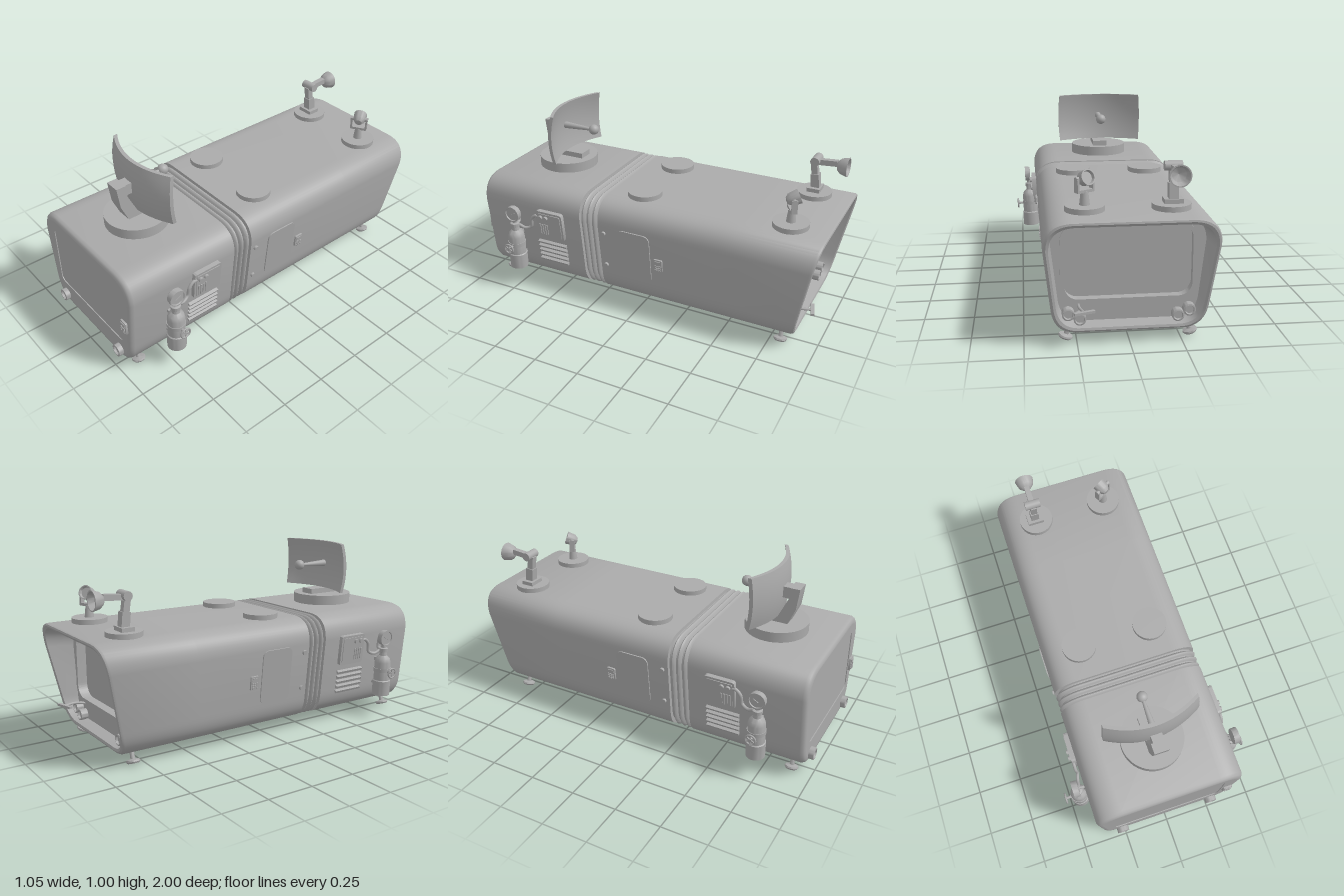
import * as THREE from 'three';
import { toCreasedNormals } from 'three/addons/utils/BufferGeometryUtils.js';

const grey = new THREE.MeshStandardMaterial({ color: 0xaaaaaa, side: THREE.DoubleSide });
grey.name = 'grey';

function add(parent, name, geo, x = 0, y = 0, z = 0, rx = 0, ry = 0, rz = 0) {
  const m = new THREE.Mesh(geo, grey);
  m.name = name;
  m.position.set(x, y, z);
  m.rotation.set(rx, ry, rz);
  parent.add(m);
  return m;
}
function sub(parent, name, x = 0, y = 0, z = 0, rx = 0, ry = 0, rz = 0) {
  const g = new THREE.Group();
  g.name = name;
  g.position.set(x, y, z);
  g.rotation.set(rx, ry, rz);
  parent.add(g);
  return g;
}
const box = (w, h, d) => new THREE.BoxGeometry(w, h, d);
const cyl = (r, h, r2 = r, n = 32) => new THREE.CylinderGeometry(r, r2, h, n);
const ball = (r) => new THREE.SphereGeometry(r, 20, 14);
const lathe = (pts) => toCreasedNormals(new THREE.LatheGeometry(pts.map(p => new THREE.Vector2(...p)), 28), 0.6);
const tube = (pts, r) => new THREE.TubeGeometry(new THREE.CatmullRomCurve3(pts.map(p => new THREE.Vector3(...p))), 28, r, 8);
const extrude = (s, depth) => toCreasedNormals(new THREE.ExtrudeGeometry(s, { depth, bevelEnabled: false, curveSegments: 10 }), 0.6);

function roundRect(w, h, r, cx = 0, cy = 0) {
  const s = new THREE.Shape(), a = w / 2 - r, b = h / 2 - r;
  s.absarc(cx + a, cy + b, r, 0, Math.PI / 2);
  s.absarc(cx - a, cy + b, r, Math.PI / 2, Math.PI);
  s.absarc(cx - a, cy - b, r, Math.PI, Math.PI * 1.5);
  s.absarc(cx + a, cy - b, r, Math.PI * 1.5, Math.PI * 2);
  s.closePath();
  return s;
}

// Hull cross-section, shrunk evenly by an inset
const half = [
  ...new THREE.QuadraticBezierCurve(new THREE.Vector2(0.25, 0.06), new THREE.Vector2(0.365, 0.06), new THREE.Vector2(0.375, 0.2)).getPoints(12),
  ...new THREE.QuadraticBezierCurve(new THREE.Vector2(0.408, 0.5), new THREE.Vector2(0.41, 0.635), new THREE.Vector2(0.27, 0.635)).getPoints(12)];
const outline = [...half, ...half.slice().reverse().map(p => new THREE.Vector2(-p.x, p.y))];
const section = (i) => outline.map(p => new THREE.Vector2(p.x * (1 - i / 0.41), 0.3475 + (p.y - 0.3475) * (1 - i / 0.2875)));

// Rings are [z, inset, slant]
function loft(rings) {
  const pos = [], idx = [], n = outline.length;
  rings.forEach(([z, inset, slant = 0]) => section(inset).forEach(p => pos.push(p.x, p.y, z + slant * (0.635 - p.y) * 0.209)));
  for (let k = 0; k < rings.length - 1; k++) for (let i = 0; i < n; i++) {
    const a = k * n + i, b = k * n + (i + 1) % n;
    idx.push(a, a + n, b, b, a + n, b + n);
  }
  const g = new THREE.BufferGeometry();
  g.setAttribute('position', new THREE.Float32BufferAttribute(pos, 3));
  g.setIndex(idx);
  return toCreasedNormals(g, 0.6);
}

// Copy of a group reflected across x = 0 with its face order restored
function mirrored(src, name) {
  const out = new THREE.Group();
  out.name = name;
  src.updateMatrixWorld(true);
  src.traverse(o => {
    if (!o.isMesh) return;
    let g = o.geometry.index ? o.geometry.toNonIndexed() : o.geometry.clone();
    g.applyMatrix4(o.matrixWorld).applyMatrix4(new THREE.Matrix4().makeScale(-1, 1, 1));
    g.setIndex(Array.from({ length: g.attributes.position.count }, (_, i) => i - i % 3 + [0, 2, 1][i % 3]));
    add(out, o.name, g);
  });
  return out;
}

function keypad(parent, x, y, z) {
  const g = sub(parent, 'keypad', x, y, z);
  add(g, 'keypadCase', extrude(roundRect(0.05, 0.075, 0.006), 0.012));
  add(g, 'keypadScreen', box(0.034, 0.018, 0.005), 0, 0.02, 0.013);
  for (let i = 0; i < 9; i++) add(g, 'key', box(0.009, 0.009, 0.008), (i % 3 - 1) * 0.012, -0.002 - Math.floor(i / 3) * 0.012, 0.013);
}

function buildHull(root) {
  const rings = [[0.97, 0.03], [0.968, 0.016], [0.96, 0.006], [0.945, 0], [0.33, 0], [0.328, 0.018]];
  for (let r = 0; r < 3; r++) for (let i = 0; i <= 6; i++)
    rings.push([0.322 - r * 0.034 - i * 0.0045, 0.018 - 0.017 * Math.sin(i * Math.PI / 6)]);
  rings.push([0.217, 0.018], [0.215, 0], [-0.5, 0, 0.5], [-0.985, 0, 1], [-0.996, 0.005, 1], [-1, 0.014, 1], [-0.994, 0.026, 1], [-0.82, 0.04]);
  add(root, 'hull', loft(rings));

  // Front face with inset screen
  const front = new THREE.Shape(section(0.03));
  front.holes.push(roundRect(0.61, 0.355, 0.03, 0, 0.3725));
  add(root, 'frontFace', extrude(front, 0.012), 0, 0, 0.958);
  add(root, 'frontScreen', extrude(roundRect(0.62, 0.365, 0.03, 0, 0.3725), 0.005), 0, 0, 0.96);
  keypad(root, 0.34, 0.333, 0.969);

  // Recessed rear wall and its window
  const back = new THREE.Shape(section(0.039));
  back.holes.push(roundRect(0.62, 0.36, 0.07, 0, 0.385));
  add(root, 'rearWall', extrude(back, 0.05), 0, 0, -0.82);
  add(root, 'rearWindow', extrude(roundRect(0.63, 0.37, 0.07, 0, 0.385), 0.005), 0, 0, -0.775);
  const frame = roundRect(0.65, 0.39, 0.085, 0, 0.385);
  frame.holes.push(roundRect(0.61, 0.35, 0.065, 0, 0.385));
  add(root, 'rearWindowFrame', extrude(frame, 0.015), 0, 0, -0.83);
  add(root, 'rearArm', tube([[0.24, 0.18, -0.82], [0.24, 0.19, -0.88], [0.22, 0.19, -0.95]], 0.007));
  add(root, 'rearArmBar', box(0.1, 0.012, 0.018), 0.22, 0.19, -0.945, 0, 0.3);
}

// Everything that repeats on the left and right
function buildSide() {
  const side = new THREE.Group();
  side.name = 'leftFittings';
  const wall = sub(sub(side, 'wallTilt', 0.392, 0.35, 0, 0, 0, -0.11), 'wall', 0, 0, 0, 0, Math.PI / 2);
  add(wall, 'door', extrude(roundRect(0.19, 0.3, 0.035), 0.012), 0, 0, -0.006);
  keypad(wall, -0 + 0.142, -0.017, -0.002);
  for (const y of [-0.1, 0.105]) add(wall, 'hinge', cyl(0.013, 0.02, 0.013, 16), -0.182, y, 0.002, Math.PI / 2);
  // Control panel and vents
  add(wall, 'controlPanel', extrude(roundRect(0.168, 0.17, 0.015), 0.026), -0.518, 0.08, -0.004);
  add(wall, 'panelInset', extrude(roundRect(0.145, 0.145, 0.01), 0.006), -0.518, 0.08, 0.02);
  for (const x of [-0.57, -0.535]) add(wall, 'panelKnob', cyl(0.013, 0.016, 0.013, 16), x, 0.13, 0.03, Math.PI / 2);
  for (let i = 0; i < 4; i++) add(wall, 'panelSlot', box(0.008, 0.065, 0.01), -0.578 + i * 0.015, 0.055, 0.026);
  for (let i = 0; i < 5; i++) add(wall, 'ventSlat', box(0.185, 0.014, 0.02), -0.528, -0.05 - i * 0.029, 0.004, 0.35);

  // Gas bottle, gauge, valve wheel and hose
  const b = sub(side, 'gasBottle', 0.435, 0, 0.738, 0, 0, -0.03);
  add(b, 'bottle', lathe([[0, 0.135], [0.05, 0.135], [0.051, 0.22], [0.046, 0.225], [0.046, 0.33], [0.04, 0.352], [0.022, 0.37], [0.02, 0.39], [0.026, 0.392], [0.026, 0.412], [0.014, 0.416], [0.013, 0.435], [0, 0.437]]));
  add(b, 'bottleBand', cyl(0.049, 0.022), 0, 0.285, 0);
  add(b, 'valveStem', cyl(0.008, 0.05, 0.008, 12), 0.058, 0.28, 0, 0, 0, Math.PI / 2);
  add(b, 'valveWheel', new THREE.TorusGeometry(0.027, 0.005, 8, 24), 0.078, 0.28, 0, 0, Math.PI / 2);
  for (let i = 0; i < 3; i++) add(b, 'wheelSpoke', box(0.006, 0.052, 0.006), 0.078, 0.28, 0, i * Math.PI / 3);
  add(b, 'gaugeNeck', cyl(0.008, 0.03, 0.008, 12), 0, 0.435, 0);
  add(b, 'gauge', lathe([[0, -0.016], [0.044, -0.016], [0.046, 0.016], [0.039, 0.016], [0.037, 0.01], [0, 0.01]]), 0.008, 0.474, 0, 0, 0, -Math.PI / 2);
  add(b, 'gaugeNeedle', box(0.004, 0.004, 0.035), 0.02, 0.474, -0.005, 0.5);
  for (const y of [0.2, 0.34]) add(side, 'bottleBracket', box(0.06, 0.018, 0.03), 0.395, y, 0.738);
  add(side, 'hose', tube([[0.435, 0.4, 0.72], [0.43, 0.385, 0.68], [0.42, 0.4, 0.645], [0.425, 0.45, 0.635], [0.425, 0.475, 0.61], [0.425, 0.475, 0.59]], 0.009));
  add(side, 'gaugePipe', tube([[0.43, 0.47, 0.738], [0.408, 0.46, 0.738], [0.405, 0.41, 0.738], [0.43, 0.4, 0.738]], 0.009));

  // Headlights and rear lights
  add(side, 'frontLight', lathe([[0, 0], [0.033, 0], [0.033, 0.028], [0.024, 0.03], [0.021, 0.018], [0, 0.018]]), 0.266, 0.117, 0.968, Math.PI / 2);
  for (const [x, y] of [[0.235, 0.12], [0.29, 0.145]])
    add(side, 'rearLight', lathe([[0, 0], [0.03, 0], [0.03, 0.04], [0.023, 0.042], [0.02, 0.03], [0, 0.03]]), x, y, -0.818, -Math.PI / 2);

  // Feet and underside nozzles
  for (const z of [0.89, -0.81]) {
    const f = sub(side, 'foot', 0.302, 0.022, z, 0, 0, 0.32);
    add(f, 'footPad', lathe([[0, -0.012], [0.03, -0.01], [0.036, -0.002], [0.034, 0.006], [0.012, 0.012], [0.011, 0.08]]));
  }
  for (const z of [0.74, -0.735])
    add(side, 'nozzle', lathe([[0.1, 0.065], [0.096, 0.052], [0.078, 0.042], [0.062, 0.042], [0.05, 0.056], [0.034, 0.056], [0.028, 0.034], [0, 0.032]]), 0.16, 0, z);

  // Roof discs
  for (const z of [0.03, -0.79]) add(side, 'roofDisc', cyl(0.094, 0.035, 0.094, 40), 0.204, 0.6435, z);
  return side;
}

function buildDish(root) {
  const d = sub(root, 'dishAssembly');
  add(d, 'turntable', cyl(0.168, 0.065, 0.168, 48), 0, 0.658, 0.645);
  const s = new THREE.Shape([[0.77, 0.895], [0.715, 0.895], [0.712, 0.83], [0.66, 0.72], [0.53, 0.72], [0.53, 0.688], [0.715, 0.688], [0.755, 0.78]].map(p => new THREE.Vector2(...p)));
  add(d, 'dishSupport', extrude(s, 0.084), 0.042, 0, 0, 0, -Math.PI / 2);
  add(d, 'dishMount', box(0.06, 0.06, 0.07), 0, 0.86, 0.695);
  // Box bent into a shallow bowl
  const g = box(0.51, 0.28, 0.02).toNonIndexed() && new THREE.BoxGeometry(0.51, 0.28, 0.02, 16, 10, 1);
  const p = g.attributes.position;
  for (let i = 0; i < p.count; i++) {
    const x = p.getX(i), y = p.getY(i);
    p.setX(i, x * (1 - 1.6 * y * y));
    p.setZ(i, p.getZ(i) - 1.1 * x * x - 0.9 * y * y);
  }
  add(d, 'dish', toCreasedNormals(g, 0.6), 0, 0.86, 0.668);
  add(d, 'feedRod', cyl(0.008, 0.19, 0.02, 16), 0, 0.865, 0.57, -Math.PI / 2);
  add(d, 'feedBall', ball(0.029), 0, 0.866, 0.467);
}

function buildLamps(root) {
  // Jointed lamp
  const a = sub(root, 'armLamp', -0.21, 0, -0.79);
  add(a, 'armBase', box(0.09, 0.025, 0.07), 0, 0.67, 0);
  add(a, 'armLower', box(0.045, 0.08, 0.045), 0, 0.715, 0, 0.1);
  add(a, 'armUpper', box(0.034, 0.09, 0.034), 0, 0.785, 0.01, 0.15);
  add(a, 'elbow', cyl(0.024, 0.085), 0, 0.835, 0.005, 0, 0, Math.PI / 2);
  add(a, 'forearm', box(0.03, 0.03, 0.12), 0, 0.83, -0.05, 0.08);
  add(a, 'lampBowl', lathe([[0, 0], [0.025, 0.006], [0.042, 0.024], [0.052, 0.062], [0.046, 0.062], [0.034, 0.03], [0, 0.014]]), 0, 0.822, -0.105, -Math.PI / 2);

  // Swivel lamp in a fork
  const b = sub(root, 'swivelLamp', 0.204, 0, -0.79, 0, 0.55);
  add(b, 'swivelPost', cyl(0.018, 0.07, 0.026, 16), 0, 0.69, 0);
  add(b, 'forkBase', box(0.09, 0.014, 0.03), 0, 0.727, 0);
  for (const s of [-1, 1]) add(b, 'forkEar', box(0.01, 0.07, 0.03), s * 0.043, 0.757, 0);
  add(b, 'swivelAxle', cyl(0.012, 0.1, 0.012, 16), 0, 0.785, 0, 0, 0, Math.PI / 2);
  add(b, 'swivelHead', lathe([[0, -0.035], [0.02, -0.03], [0.034, -0.01], [0.038, 0.035], [0.032, 0.035], [0.028, 0.02], [0, 0.02]]), 0, 0.785, 0, -1.2);
}

function buildBelly(root) {
  const b = sub(root, 'bellyHatch');
  add(b, 'hatch', box(0.32, 0.03, 0.31), 0, 0.06, -0.415);
  for (let i = 0; i < 5; i++) add(b, 'hatchSlat', box(0.22, 0.01, 0.022), 0, 0.043, -0.32 - i * 0.047, 0.3);
  add(b, 'hatchPlate', box(0.1, 0.02, 0.09), -0.04, 0.055, -0.14);
  add(b, 'hatchRing', new THREE.TorusGeometry(0.068, 0.008, 8, 32), 0, 0.046, -0.2, Math.PI / 2 + 0.08);
}

export function createModel() {
  const root = new THREE.Group();
  root.name = 'capsule';
  buildHull(root);
  const left = buildSide();
  root.add(left, mirrored(left, 'rightFittings'));
  buildDish(root);
  buildLamps(root);
  buildBelly(root);
  return root;
}
